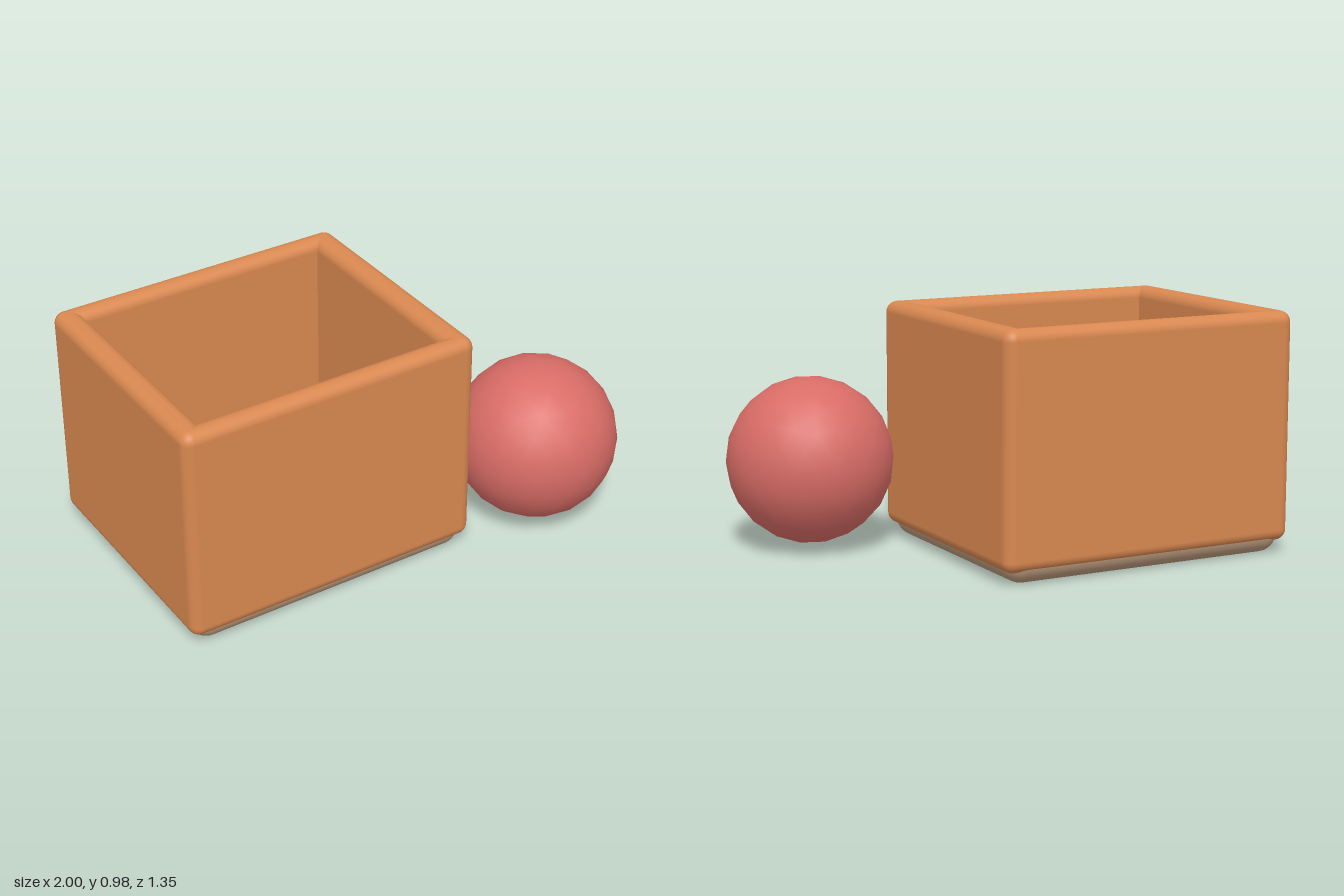
import * as THREE from 'three';
import { RoundedBoxGeometry } from 'three/addons/geometries/RoundedBoxGeometry.js';

const material = (color) => new THREE.MeshStandardMaterial({ color });

export function createModel() {
  const model = new THREE.Group();
  const clay = material(0xd98850);
  const tan = material(0xb8977a);
  const red = material(0xd96c66);

  // Rounded slab given by its min and max corners
  const slab = (name, mat, min, max, radius) => {
    const [w, h, d] = max.map((v, i) => v - min[i]);
    const mesh = new THREE.Mesh(new RoundedBoxGeometry(w, h, d, 4, radius), mat);
    mesh.position.set(min[0] + w / 2, min[1] + h / 2, min[2] + d / 2);
    mesh.name = name;
    return mesh;
  };

  // Open box: four overlapping walls on a rounded floor
  const x0 = -1, x1 = 0.29, z0 = -0.675, z1 = 0.41;
  const bottom = 0.05, top = 0.98, tx = 0.108, tz = 0.093, r = 0.046;
  const box = new THREE.Group();
  box.name = 'openBox';
  box.add(
    slab('rightWall', clay, [x0, bottom, z0], [x0 + tx, top, z1], r),
    slab('leftWall', clay, [x1 - tx, bottom, z0], [x1, top, z1], r),
    slab('backWall', clay, [x0, bottom, z0], [x1, top, z0 + tz], r),
    slab('frontWall', clay, [x0, bottom, z1 - tz], [x1, top, z1], r),
    slab('floor', tan, [x0 + 0.025, 0, z0 + 0.012], [x1 - 0.025, 0.15, z1 - 0.012], 0.075),
  );
  model.add(box);

  // Ball with a vertex at its pole
  const ballGeometry = new THREE.IcosahedronGeometry(0.34, 3);
  ballGeometry.rotateZ(-Math.atan(2 / (1 + Math.sqrt(5))));
  const ball = new THREE.Mesh(ballGeometry, red);
  ball.name = 'ball';
  ball.position.set(0.655, 0.36, 0.335);
  model.add(ball);

  return model;
}
